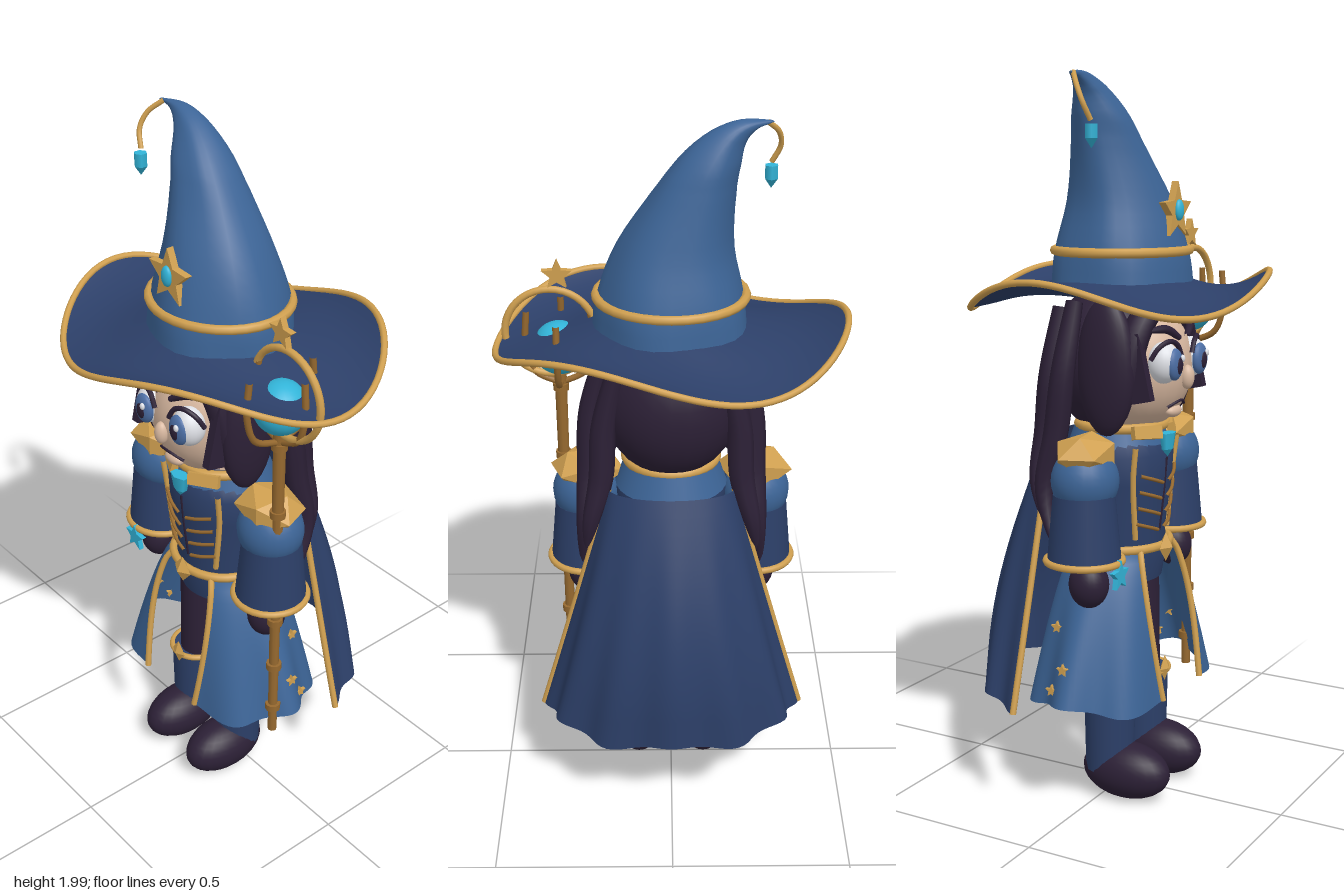
import * as THREE from 'three';
import { ParametricGeometry } from 'three/addons/geometries/ParametricGeometry.js';

const mat = (name, color, side = THREE.FrontSide) => {
  const m = new THREE.MeshStandardMaterial({ color, side });
  m.name = name;
  return m;
};

export function createModel() {
  const root = new THREE.Group();
  root.name = 'wizardFigure';
  const blue = mat('blue cloth', 0x3c6496, THREE.DoubleSide);
  const navy = mat('navy cloth', 0x2c3f68, THREE.DoubleSide);
  const plum = mat('dark plum', 0x2c2036);
  const gold = mat('gold', 0xd0a050);
  const bronze = mat('bronze', 0x96692f);
  const cyan = mat('cyan crystal', 0x32b4d8);
  const skin = mat('skin', 0xd8b8a0);
  const white = mat('eye white', 0xe8eaf0);
  const iris = mat('iris blue', 0x4c6ea4);

  const V = (x, y, z) => new THREE.Vector3(x, y, z);
  const add = (name, geo, m, x = 0, y = 0, z = 0) => {
    const mesh = new THREE.Mesh(geo, m);
    mesh.name = name;
    mesh.position.set(x, y, z);
    root.add(mesh);
    return mesh;
  };
  const ball = (name, m, x, y, z, rx, ry = rx, rz = rx) =>
    add(name, new THREE.SphereGeometry(1, 24, 16).scale(rx, ry, rz), m, x, y, z);
  const ring = (name, m, x, y, z, rx, rz, t) =>
    add(name, new THREE.TorusGeometry(1, t / rx, 8, 32).rotateX(Math.PI / 2).scale(rx, rx, rz), m, x, y, z);
  const column = (name, m, x, y0, y1, z, r0, r1, n = 20) =>
    add(name, new THREE.CylinderGeometry(r1, r0, y1 - y0, n), m, x, (y0 + y1) / 2, z);
  const sheet = (name, m, fn, nu, nv) =>
    add(name, new ParametricGeometry((u, v, t) => t.copy(fn(u, v)), nu, nv), m);
  // tube whose thickness follows a rule along its length
  const strand = (name, m, pts, r, rule = () => 1, closed = false, n = 24) => {
    const curve = new THREE.CatmullRomCurve3(pts, closed);
    const geo = new THREE.TubeGeometry(curve, n, r, 8, closed);
    const p = geo.attributes.position;
    const v = V(0, 0, 0);
    for (let i = 0; i < p.count; i++) {
      const t = Math.floor(i / 9) / n;
      const c = curve.getPointAt(Math.min(t, 1));
      v.fromBufferAttribute(p, i).sub(c).multiplyScalar(rule(t)).add(c);
      p.setXYZ(i, v.x, v.y, v.z);
    }
    return add(name, geo, m);
  };
  const taper = t => Math.sqrt(Math.max(0.001, 1 - t ** 4)) * (0.65 + 0.35 * Math.sin(t * 3.1));
  const edge = (fn, u) => Array.from({ length: 15 }, (_, i) => fn(u, i / 14));
  const star = (name, m, r, x, y, z, depth = 0.01) => {
    const pts = Array.from({ length: 10 }, (_, i) => {
      const q = i % 2 ? r * 0.45 : r;
      return new THREE.Vector2(q * Math.sin(i * Math.PI / 5), q * Math.cos(i * Math.PI / 5));
    });
    const geo = new THREE.ExtrudeGeometry(new THREE.Shape(pts), { depth, bevelEnabled: false });
    return add(name, geo.translate(0, 0, -depth / 2), m, x, y, z);
  };

  // Hat crown: centre line and radius bend together toward the tip
  const centre = new THREE.CatmullRomCurve3([
    V(0, 1.43, 0), V(0, 1.53, 0), V(-0.01, 1.66, 0), V(-0.055, 1.8, -0.01),
    V(-0.09, 1.88, -0.015), V(-0.14, 1.95, -0.02), V(-0.19, 1.98, -0.02), V(-0.25, 1.985, -0.01)]);
  const radius = new THREE.CatmullRomCurve3(
    [0.205, 0.192, 0.152, 0.107, 0.082, 0.045, 0.022, 0.003].map((r, i) => V(r, i, 0)));
  sheet('hatCrown', blue, (u, v) => {
    const a = u * Math.PI * 2, c = centre.getPoint(v);
    const r = radius.getPoint(v).x * (1 + 0.02 * Math.sin(a * 5 + v * 6));
    const tilt = Math.max(0, v - 0.55) * 1.6;
    return V(c.x + r * Math.sin(a), Math.min(2, c.y + r * tilt * Math.sin(a)), c.z + 0.92 * r * Math.cos(a));
  }, 28, 28);
  ring('hatBand', gold, 0, 1.53, 0, 0.196, 0.18, 0.013);

  // Wavy brim with gold rim
  const brim = (u, v) => {
    const a = u * Math.PI * 2;
    const rx = 0.19 + 0.275 * v, rz = 0.17 + 0.215 * v;
    const y = 1.455 - 0.035 * Math.sin(v * 2.4) - 0.007 * v - 0.047 * v * v * Math.cos(3 * a);
    return V(rx * Math.cos(a), y, rz * Math.sin(a));
  };
  sheet('hatBrim', navy, brim, 64, 10);
  strand('brimRim', gold, Array.from({ length: 36 }, (_, i) => brim(i / 36, 1)), 0.009, () => 1, true, 96);

  // Hat ornaments
  star('hatStar', gold, 0.078, 0, 1.635, 0.16, 0.02);
  ball('hatStarGem', cyan, 0, 1.638, 0.172, 0.018, 0.028, 0.012);
  strand('tipChain', gold, [V(-0.235, 1.985, -0.01), V(-0.268, 1.95, 0.02), V(-0.275, 1.91, 0.04), V(-0.255, 1.865, 0.052)], 0.007);
  add('tipCrystal', new THREE.CylinderGeometry(0.018, 0.018, 0.035, 6), cyan, -0.255, 1.838, 0.054);
  add('tipCrystalPoint', new THREE.ConeGeometry(0.018, 0.025, 6).rotateX(Math.PI), cyan, -0.255, 1.808, 0.054);

  // Head
  ball('face', skin, 0, 1.22, 0.045, 0.15, 0.18, 0.155);
  ball('hairCap', plum, 0, 1.235, -0.03, 0.19, 0.21, 0.168);
  ball('nose', skin, 0, 1.195, 0.2, 0.02, 0.033, 0.02);
  strand('mouth', plum, [V(-0.05, 1.115, 0.165), V(0, 1.13, 0.181), V(0.05, 1.115, 0.165)], 0.004);
  ball('lowerLip', skin, 0, 1.1, 0.158, 0.035, 0.018, 0.02);
  column('neck', skin, 0, 1, 1.1, 0, 0.07, 0.07);

  // Jacket body
  const profile = [[0.12, 0.62], [0.135, 0.7], [0.13, 0.76], [0.15, 0.9], [0.155, 0.98], [0.13, 1.03], [0.09, 1.05]];
  add('jacket', new THREE.LatheGeometry(profile.map(p => new THREE.Vector2(...p)), 28).scale(1, 1, 0.9), navy);
  ring('belt', gold, 0, 0.72, 0, 0.142, 0.13, 0.013);
  add('beltBuckle', new THREE.OctahedronGeometry(0.042).scale(0.85, 1, 0.5), gold, 0, 0.715, 0.138);
  add('backCollar', new THREE.CylinderGeometry(0.125, 0.155, 0.08, 28, 1, true).scale(1, 1, 0.95), blue, 0, 1.02, -0.01);
  ring('collarTrim', gold, 0, 1.055, 0, 0.125, 0.12, 0.014);
  add('collarGem', new THREE.CylinderGeometry(0.034, 0.024, 0.045, 6).scale(1, 1, 0.6), cyan, 0, 1.015, 0.142);
  add('collarGemPoint', new THREE.ConeGeometry(0.024, 0.022, 6).rotateX(Math.PI).scale(1, 1, 0.6), cyan, 0, 0.982, 0.142);
  strand('frontSeam', plum, [V(0, 0.97, 0.139), V(0, 0.86, 0.129), V(0, 0.76, 0.117)], 0.004);

  // Cape wrapped round the back
  const cape = (u, v) => {
    const a = (u - 0.5) * Math.PI, fold = 1 + 0.035 * v * Math.cos(a * 12);
    const w = 0.17 + 0.19 * v, d = 0.07 + 0.17 * Math.sin(Math.min(1, v * 1.15) * Math.PI / 2);
    return V(w * fold * Math.sin(a), 1.02 - 0.71 * v + 0.012 * v * Math.cos(a * 6), -0.13 - d * fold * Math.cos(a));
  };
  sheet('cape', navy, cape, 60, 16);

  for (const s of [-1, 1]) {
    const side = s > 0 ? 'left' : 'right';
    // Eyes and brows
    ball(side + 'Eye', white, s * 0.077, 1.24, 0.168, 0.046, 0.056, 0.045);
    ball(side + 'Iris', iris, s * 0.073, 1.237, 0.2, 0.034, 0.043, 0.018);
    ball(side + 'Pupil', plum, s * 0.072, 1.235, 0.211, 0.018, 0.025, 0.01);
    ball(side + 'EyeGlint', white, s * 0.072 + 0.012, 1.253, 0.217, 0.008, 0.01, 0.006);
    strand(side + 'Eyelid', plum, [V(s * 0.03, 1.255, 0.198), V(s * 0.05, 1.287, 0.195), V(s * 0.08, 1.298, 0.188),
      V(s * 0.112, 1.282, 0.172), V(s * 0.126, 1.25, 0.155)], 0.007);
    strand(side + 'Brow', plum, [V(s * 0.022, 1.302, 0.187), V(s * 0.07, 1.328, 0.172), V(s * 0.12, 1.325, 0.14)], 0.012, taper);
    ball(side + 'Earring', gold, s * 0.175, 1.115, 0.075, 0.01, 0.026, 0.01);

    // Parted fringe, face-framing locks and long strands
    strand(side + 'Fringe', plum, [V(s * 0.005, 1.43, 0.14), V(s * 0.07, 1.395, 0.135), V(s * 0.13, 1.32, 0.115),
      V(s * 0.155, 1.2, 0.1), V(s * 0.15, 1.08, 0.085)], 0.04, taper);
    ball(side + 'FaceLock', plum, s * 0.168, 1.23, 0.045, 0.045, 0.185, 0.085);
    const panel = add(side + 'FringeTip', new THREE.BoxGeometry(0.025, 0.18, 0.055), plum, s * 0.153, 1.23, 0.13);
    panel.rotation.x = -0.22;
    strand(side + 'LongHair', plum, [V(s * 0.17, 1.4, -0.05), V(s * 0.215, 1.22, -0.06), V(s * 0.222, 1.05, -0.08),
      V(s * 0.235, 0.9, -0.11), V(s * 0.25, 0.75, -0.075)], 0.036, taper);
    strand(side + 'BackHair', plum, [V(s * 0.14, 1.38, -0.11), V(s * 0.18, 1.2, -0.12), V(s * 0.19, 1.05, -0.13),
      V(s * 0.22, 0.92, -0.14), V(s * 0.235, 0.82, -0.12)], 0.036, taper);

    // Jacket trim and lacing
    strand(side + 'LapelTrim', gold, [V(s * 0.12, 1.01, 0.108), V(s * 0.115, 0.92, 0.098), V(s * 0.092, 0.75, 0.092)], 0.008);
    for (let i = 0; i < 4; i++) {
      const y = 0.93 - i * 0.045;
      strand(side + 'Lacing', bronze, [V(s * 0.1, y, 0.112 - i * 0.005), V(s * 0.055, y - 0.016, 0.131 - i * 0.005),
        V(s * 0.015, y - 0.03, 0.136 - i * 0.005)], 0.005);
    }
    const flap = add(side + 'CollarFlap', new THREE.BoxGeometry(0.09, 0.035, 0.02), gold, s * 0.07, 1.045, 0.115);
    flap.rotation.set(-0.3, s * 0.45, s * 0.2);

    // Arm
    add(side + 'ShoulderPad', new THREE.IcosahedronGeometry(1, 0).rotateY(0.3).scale(0.108, 0.062, 0.088), gold, s * 0.232, 1.005, 0.02);
    ball(side + 'UpperSleeve', blue, s * 0.237, 0.935, 0.02, 0.095, 0.095, 0.09);
    column(side + 'Forearm', navy, s * 0.243, 0.72, 0.9, 0.02, 0.1, 0.083);
    ring(side + 'Cuff', gold, s * 0.243, 0.72, 0.02, 0.102, 0.102, 0.01);
    ball(side + 'Hand', plum, s * 0.245, 0.655, 0.035, 0.053, 0.065, 0.055);

    // Open coat skirt with trimmed front edge
    const skirt = (u, v) => {
      const a0 = 0.65 - 0.28 * v, a = a0 + (2.35 - a0) * u;
      const k = v ** 0.65, fold = 1 + 0.05 * v * Math.cos(a * 8);
      return V(s * (0.14 + 0.185 * k) * fold * Math.sin(a), 0.72 - 0.41 * v + 0.015 * v * Math.cos(a * 4),
        (0.13 + 0.085 * k) * fold * Math.cos(a));
    };
    sheet(side + 'CoatSkirt', blue, skirt, 36, 14);
    strand(side + 'CoatTrim', gold, edge(skirt, 0), 0.009);
    strand(side + 'CapeTrim', gold, edge(cape, s > 0 ? 1 : 0), 0.009);
    for (const [u, v] of [[0.62, 0.75], [0.8, 0.5], [0.72, 0.9]]) {
      const p = skirt(u, v);
      star(side + 'SkirtStud', gold, 0.018, p.x + s * 0.005, p.y, p.z).rotation.y = s * 1.5;
    }

    // Leg and boot
    column(side + 'Thigh', plum, s * 0.085, 0.3, 0.68, 0.01, 0.06, 0.055);
    column(side + 'BootShaft', navy, s * 0.098, 0.08, 0.32, 0.015, 0.068, 0.073);
    ring(side + 'BootTrim', gold, s * 0.098, 0.315, 0.015, 0.073, 0.073, 0.009);
    add(side + 'BootOrnament', new THREE.OctahedronGeometry(0.035).scale(0.8, 1.1, 0.4), gold, s * 0.09, 0.325, 0.09);
    ball(side + 'Shoe', plum, s * 0.098, 0.08, 0.068, 0.077, 0.08, 0.133);
  }
  star('wristStar', cyan, 0.042, -0.24, 0.69, 0.125, 0.015);

  // Staff
  column('staffShaft', bronze, 0.3, 0.27, 1.28, 0.052, 0.013, 0.017, 10);
  for (const y of [0.36, 0.51, 0.67, 1.03, 1.24]) column('staffCollar', bronze, 0.3, y - 0.01, y + 0.01, 0.052, 0.022, 0.022, 10);
  ball('staffOrb', cyan, 0.3, 1.355, 0.052, 0.073);
  add('staffRing', new THREE.TorusGeometry(0.122, 0.01, 8, 40), gold, 0.322, 1.4, 0.052);
  for (const [dx, dz] of [[0, 0.11], [0, -0.11], [0.09, 0], [-0.09, 0]]) {
    strand('orbProng', bronze, [V(0.3, 1.25, 0.052), V(0.3 + dx * 0.75, 1.285, 0.052 + dz * 0.75),
      V(0.3 + dx, 1.36, 0.052 + dz), V(0.3 + dx * 0.95, 1.46, 0.052 + dz * 0.95)], 0.009);
  }
  star('staffStar', gold, 0.042, 0.3, 1.563, 0.052, 0.018);
  return root;
}
